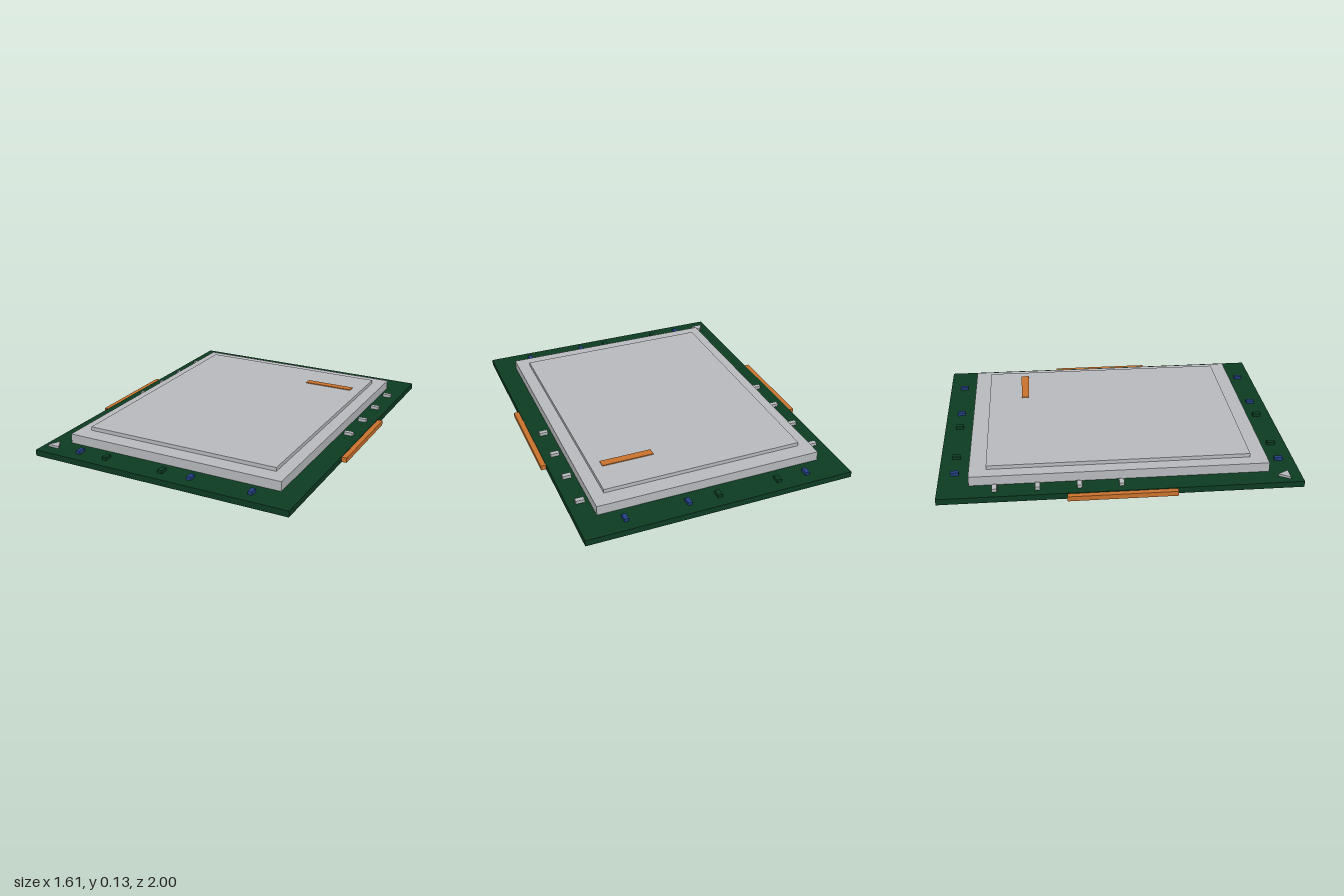
import * as THREE from 'three';

export function createModel() {
  const model = new THREE.Group();
  const mat = (name, color) => {
    const m = new THREE.MeshStandardMaterial({ color });
    m.name = name;
    return m;
  };
  const green = mat('board green', 0x0d3b22);
  const silver = mat('metal silver', 0xb8b9bd);
  const copper = mat('copper orange', 0xc8722c);
  const blue = mat('chip blue', 0x233f82);

  // Box from its centre in x and z, its size, and its bottom and top heights
  const box = (name, material, x, z, w, d, y0, y1) => {
    const mesh = new THREE.Mesh(new THREE.BoxGeometry(w, y1 - y0, d), material);
    mesh.position.set(x, (y0 + y1) / 2, z);
    mesh.name = name;
    model.add(mesh);
  };
  const top = 0.045; // upper face of the board

  // Stacked plates
  box('bottomPlate', silver, 0, 0, 1.44, 1.85, 0, 0.01);
  box('circuitBoard', green, 0, 0, 1.55, 2, 0.01, top);
  box('lidBase', silver, 0, 0, 1.31, 1.66, top, 0.1);
  box('lidTop', silver, 0, 0, 1.165, 1.47, 0.1, 0.122);
  box('lidStripe', copper, 0.37, -0.513, 0.3, 0.046, 0.122, 0.127);

  // Side contacts and the row of small capacitors on each long edge
  for (const side of [-1, 1]) {
    box('sideContact', copper, side * 0.79, 0, 0.03, 0.6, 0.013, 0.041);
    for (const z of [-0.69, -0.457, -0.23, 0])
      box('capacitor', silver, side * 0.703, z, 0.05, 0.027, top, 0.063);
  }

  // Chips along the front and back edges
  for (const z of [-0.913, 0.913]) {
    for (const x of [-0.533, 0.173, 0.53]) box('blueChip', blue, x, z, 0.026, 0.046, top, 0.063);
    for (const x of [-0.357, -0.002]) box('greenChip', green, x, z, 0.028, 0.046, top, 0.063);
  }

  // Triangular corner marker, its tip towards the back
  const outline = new THREE.Shape([
    new THREE.Vector2(-0.036, -0.03),
    new THREE.Vector2(0.036, -0.03),
    new THREE.Vector2(0, 0.032),
  ]);
  const marker = new THREE.Mesh(
    new THREE.ExtrudeGeometry(outline, { depth: 0.013, bevelEnabled: false }), silver);
  marker.rotation.x = -Math.PI / 2;
  marker.position.set(-0.707, top, 0.9);
  marker.name = 'cornerMarker';
  model.add(marker);

  return model;
}
